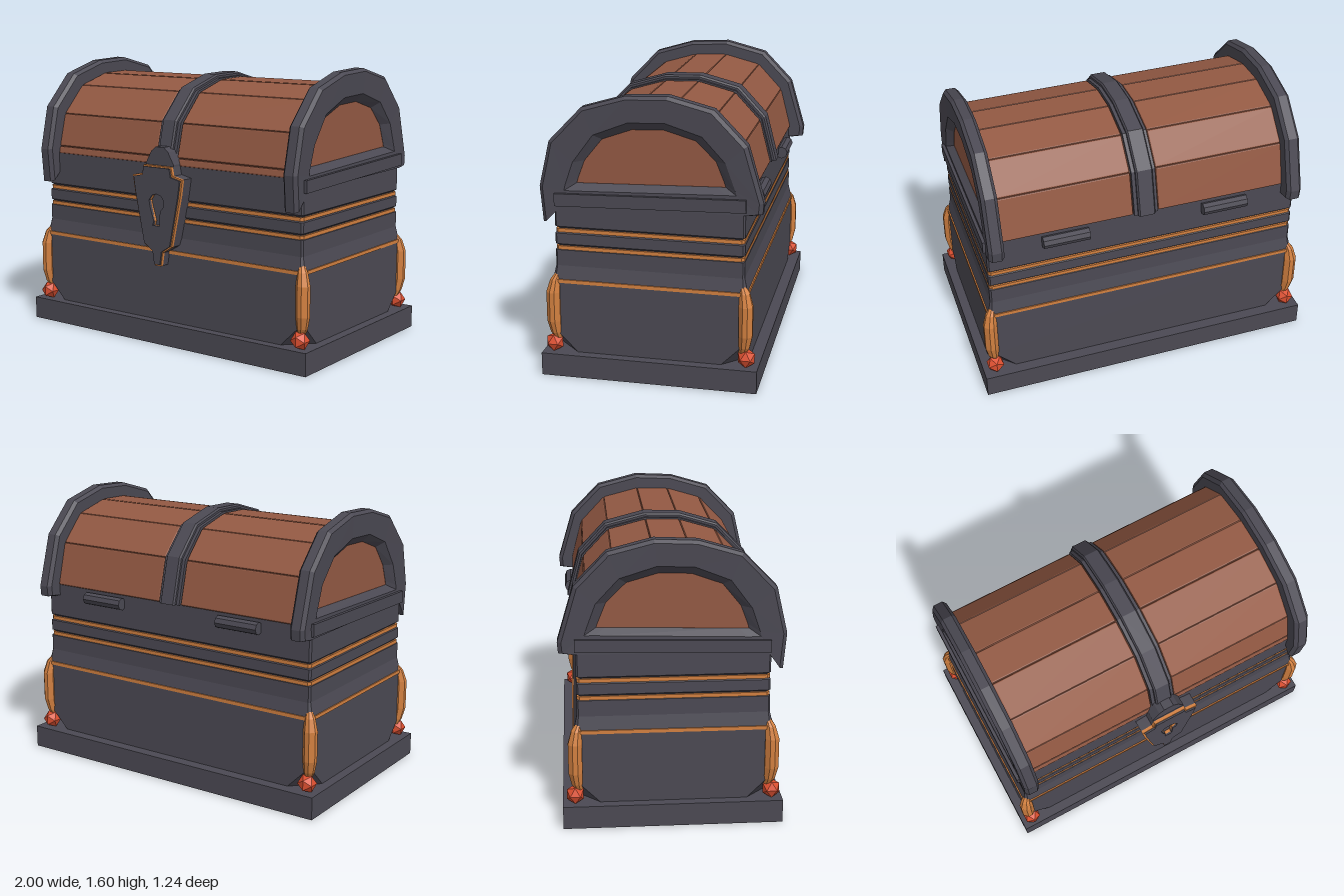
import * as THREE from 'three';
import { RoundedBoxGeometry } from 'three/addons/geometries/RoundedBoxGeometry.js';

const mat = (color) => new THREE.MeshStandardMaterial({ color, flatShading: true });
const iron = mat(0x4b4953), wood = mat(0x935943), darkWood = mat(0x5f3829);
const copper = mat(0xd28040), red = mat(0xdb4f30);

export function createModel() {
  const chest = new THREE.Group();
  chest.name = 'treasureChest';

  const add = (name, geometry, material, x = 0, y = 0, z = 0) => {
    const mesh = new THREE.Mesh(geometry, material);
    mesh.name = name;
    mesh.position.set(x, y, z);
    chest.add(mesh);
    return mesh;
  };

  // Skin a row of equal-length loops of [x, y, z]; optional fan caps
  const loft = (loops, capStart = true, capEnd = true) => {
    const pos = [];
    const tri = (...pts) => pts.forEach((p) => pos.push(...p));
    const n = loops[0].length;
    const middle = (l) => [0, 1, 2].map((k) => l.reduce((s, p) => s + p[k], 0) / n);
    const first = loops[0], last = loops[loops.length - 1];
    for (let j = 0; j < n; j++) {
      const k = (j + 1) % n;
      for (let i = 0; i + 1 < loops.length; i++) {
        const a = loops[i], b = loops[i + 1];
        tri(a[j], a[k], b[k], a[j], b[k], b[j]);
      }
      if (capStart) tri(middle(first), first[k], first[j]);
      if (capEnd) tri(middle(last), last[j], last[k]);
    }
    const g = new THREE.BufferGeometry();
    g.setAttribute('position', new THREE.Float32BufferAttribute(pos, 3));
    g.computeVertexNormals();
    return g;
  };

  // Rectangle with cut corners at height y, centred on (cx, cz)
  const rect = (hx, hz, cut, y, cx = 0, cz = 0) => [
    [-hx + cut, hz], [hx - cut, hz], [hx, hz - cut], [hx, -hz + cut],
    [hx - cut, -hz], [-hx + cut, -hz], [-hx, -hz + cut], [-hx, hz - cut],
  ].map(([x, z]) => [cx + x, y, cz + z]);

  // Base slab
  add('baseSlab', new THREE.BoxGeometry(2, 0.13, 1.21), iron, 0, 0.065, -0.005);

  // Box body with flared lower part and two grooves: [y, offset, corner cut]
  const wall = [
    [0.13, 0.02, 0.14], [0.25, 0.02, 0.02], [0.54, 0.02, 0.02], [0.63, 0, 0.01],
    [0.72, 0, 0.01], [0.73, -0.014, 0.01], [0.745, -0.014, 0.01], [0.755, 0, 0.01],
    [0.815, 0, 0.01], [0.825, -0.014, 0.01], [0.845, -0.014, 0.01], [0.855, 0, 0.01],
    [1.055, 0, 0.01],
  ];
  add('boxBody', loft(wall.map(([y, o, c]) => rect(0.925 + o, 0.525 + o, c, y))), iron);

  // Copper trim lines around the body
  for (const [y, o] of [[0.545, 0.024], [0.732, -0.003], [0.832, -0.003]]) {
    add('copperTrim', loft([y - 0.01, y + 0.01].map((h) => rect(0.925 + o, 0.525 + o, 0.015, h))), copper);
  }

  // Corner guards and the ball feet under them
  for (const sx of [-1, 1]) for (const sz of [-1, 1]) {
    const guard = [[0.2, 0.02], [0.24, 0.03], [0.31, 0.038], [0.48, 0.038], [0.55, 0.028], [0.61, 0.006]];
    add('cornerGuard', loft(guard.map(([y, r]) =>
      rect(r, r, r * 0.65, y, sx * (0.902 + r), sz * (0.5 + r)))), copper);
    add('ballFoot', new THREE.IcosahedronGeometry(0.054, 0), red, sx * 0.928, 0.175, sz * 0.542);
  }

  // Lid cross-section from front to back: [z, y]
  const barrel = [
    [0.53, 1.045], [0.52, 1.09], [0.47, 1.285], [0.31, 1.45], [0.1, 1.512],
    [-0.1, 1.517], [-0.32, 1.46], [-0.47, 1.3], [-0.535, 1.05],
  ];
  const barrelLoop = (x, offset) =>
    barrel.map(([z, y]) => [x, 1 + (y - 1) * (1 + offset / 0.52), z * (1 + offset / 0.52)]);
  add('lidCore', loft([barrelLoop(0.85, -0.014), barrelLoop(-0.85, -0.014)]), darkWood);

  // Planks on both halves of the lid
  for (let i = 0; i + 1 < barrel.length; i++) {
    const [az, ay] = barrel[i], [bz, by] = barrel[i + 1];
    const dz = az - bz, dy = ay - by, length = Math.hypot(dz, dy);
    const t = Math.atan2(-dy, dz);
    for (const s of [-1, 1]) {
      const plank = add('lidPlank', new RoundedBoxGeometry(0.765, 0.036, length - 0.003, 1, 0.008), wood,
        s * 0.4575, (ay + by) / 2 - 0.018 * Math.cos(t), (az + bz) / 2 - 0.018 * Math.sin(t));
      plank.rotation.x = t;
    }
  }

  // Centre strap: low side strips and a raised middle
  add('strapEdge', loft([barrelLoop(0.07, 0.006), barrelLoop(-0.07, 0.006)]), iron);
  add('centreStrap', loft([
    barrelLoop(0.05, 0.018), barrelLoop(0.042, 0.028), barrelLoop(-0.042, 0.028), barrelLoop(-0.05, 0.018),
  ]), iron);

  // End arches with recessed wooden panels: [z, y]
  const outer = [
    [0.52, 0.975], [0.59, 0.875], [0.607, 1.075], [0.548, 1.33], [0.365, 1.52], [0.127, 1.59],
    [-0.106, 1.6], [-0.352, 1.537], [-0.53, 1.354], [-0.62, 1.05], [-0.615, 0.99], [-0.55, 0.98],
  ];
  const inner = [
    [0.4, 1.061], [0.467, 1.06], [0.46, 1.09], [0.415, 1.22], [0.3, 1.375], [0.11, 1.45],
    [-0.09, 1.458], [-0.29, 1.395], [-0.415, 1.26], [-0.47, 1.11], [-0.476, 1.088], [-0.42, 1.087],
  ];
  const inset = outer.map(([z, y]) => [z * 0.965, 1.1 + (y - 1.1) * 0.965]);
  const panel = inner.map(([z, y]) => [z * 0.865, 1.24 + (y - 1.24) * 0.79]);
  for (const s of [-1, 1]) {
    const at = (pts, x) => {
      const loop = pts.map(([z, y]) => [s * x, y, z]);
      return s > 0 ? loop : loop.reverse();
    };
    add('endArch', loft([
      at(panel, 0.885), at(inner, 0.925), at(inset, 0.93), at(outer, 0.912),
      at(outer, 0.858), at(inset, 0.84), at(inner, 0.84),
    ], false, false), iron);
    add('endPanel', loft([at(panel, 0.885), at(panel, 0.886)], true, false), wood);
    const bar = add('endBar', new THREE.BoxGeometry(0.03, 0.07, 1.05), iron, s * 0.929, 1.022, -0.005);
    bar.rotation.x = 0.025;

    // Back hinge
    const hinge = add('hinge', new THREE.CylinderGeometry(0.036, 0.036, 0.27, 8), iron, s * 0.475, 1.0, -0.545);
    hinge.rotation.z = Math.PI / 2;
  }

  // Lock plate: right half of the outline, mirrored, [x, y]
  const half = [
    [0.1, 1.05], [0.11, 1.0], [0.18, 0.985], [0.165, 0.89], [0.1, 0.59], [0.035, 0.55], [0.022, 0.47],
  ];
  const mirrored = (pts, k = 1) => {
    const p = pts.map(([x, y]) => new THREE.Vector2(x * k, 0.77 + (y - 0.77) * (k < 1 ? 0.97 : 1)));
    return new THREE.Shape([...p, ...p.map((v) => new THREE.Vector2(-v.x, v.y)).reverse()]);
  };
  const keyhole = () => {
    const hole = new THREE.Path();
    hole.moveTo(-0.03, 0.705);
    hole.lineTo(0.02, 0.705);
    hole.lineTo(0.025, 0.79);
    for (let i = 0; i <= 6; i++) {
      const a = -0.5 + (i / 6) * (Math.PI + 1);
      hole.lineTo(0.055 * Math.cos(a), 0.84 + 0.05 * Math.sin(a));
    }
    hole.lineTo(-0.02, 0.73);
    hole.closePath();
    return hole;
  };
  const slab = (name, shape, material, z, depth) =>
    add(name, new THREE.ExtrudeGeometry(shape, { depth, bevelEnabled: false }), material, 0, 0, z);
  const rim = mirrored(half), face = mirrored(half, 0.93);
  rim.holes.push(keyhole());
  face.holes.push(keyhole());
  slab('lockBody', mirrored(half), iron, 0.51, 0.08);
  slab('lockRim', rim, copper, 0.59, 0.018);
  slab('lockFace', face, iron, 0.6, 0.018);
  slab('lockHasp', mirrored([[0.03, 1.155], [0.06, 1.13], [0.1, 1.06], [0.1, 1.03]]), iron, 0.5, 0.085);

  return chest;
}
